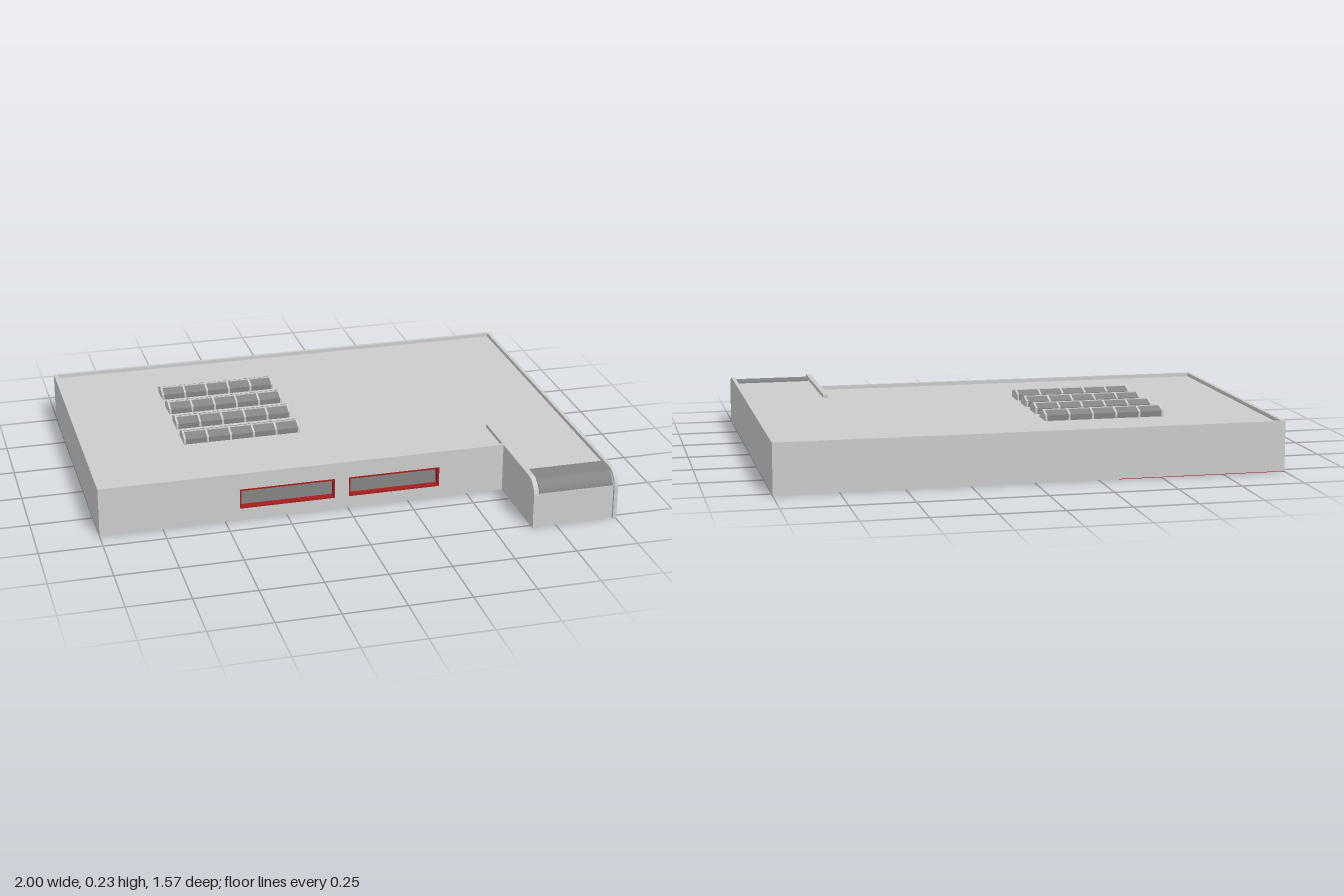
import * as THREE from 'three';

const grey = new THREE.MeshStandardMaterial({ color: 0xcccccc });
const glass = new THREE.MeshStandardMaterial({ color: 0x848484 });
const red = new THREE.MeshStandardMaterial({ color: 0xa81c1c });

const BACK = -0.785, FRONT = 0.415, TIP = 0.78; // main depth range and end of the wing
const ROOF = 0.185, TOP = 0.2, RIM = 0.015;

export function createModel() {
  const model = new THREE.Group();

  function add(name, geometry, material = grey, parent = model) {
    const mesh = new THREE.Mesh(geometry, material);
    mesh.name = name;
    parent.add(mesh);
    return mesh;
  }

  // Box given by its limits on each axis
  function block(name, x0, x1, y0, y1, z0, z1, material, parent) {
    const mesh = add(name, new THREE.BoxGeometry(x1 - x0, y1 - y0, z1 - z0), material, parent);
    mesh.position.set((x0 + x1) / 2, (y0 + y1) / 2, (z0 + z1) / 2);
    return mesh;
  }

  // Extrude a (z, y) profile along x, from x0 to x1
  function alongX(name, shape, x0, x1, material, parent) {
    const geometry = new THREE.ExtrudeGeometry(shape, { depth: x1 - x0, bevelEnabled: false, curveSegments: 10 });
    geometry.rotateY(-Math.PI / 2).scale(1, 1, 1); // shape x -> z, depth -> -x
    geometry.translate(x1, 0, 0);
    return add(name, geometry, material, parent);
  }

  function rectangle(Type, x0, x1, y0, y1) {
    return new Type([[x0, y0], [x1, y0], [x1, y1], [x0, y1]].map(([x, y]) => new THREE.Vector2(x, y)));
  }

  // Wing section with a rounded upper front corner
  function wingProfile(z0, z1, top, radius) {
    const shape = new THREE.Shape();
    shape.moveTo(z0, 0);
    shape.lineTo(z1, 0);
    shape.lineTo(z1, top - radius);
    shape.absarc(z1 - radius, top - radius, radius, 0, Math.PI / 2, false);
    shape.lineTo(z0, top);
    return shape;
  }

  // Main hall
  const wallDepth = 0.03;
  block('hall', -1, 1, 0, ROOF, BACK, FRONT - wallDepth);

  // Front wall with two recessed windows in red frames
  const windows = [[-0.44, -0.053], [0.005, 0.38]];
  const [sill, head, frame] = [0.05, 0.132, 0.006];
  const wall = rectangle(THREE.Shape, -1, 0.65, 0, ROOF);
  for (const [x0, x1] of windows) wall.holes.push(rectangle(THREE.Path, x0, x1, sill, head));
  const frontWall = add('frontWall', new THREE.ExtrudeGeometry(wall, { depth: wallDepth, bevelEnabled: false }));
  frontWall.position.z = FRONT - wallDepth;
  for (const [x0, x1] of windows) {
    const surround = rectangle(THREE.Shape, x0, x1, sill, head);
    surround.holes.push(rectangle(THREE.Path, x0 + frame, x1 - frame, sill + frame, head - frame));
    const frameMesh = add('windowFrame', new THREE.ExtrudeGeometry(surround, { depth: wallDepth + 0.002, bevelEnabled: false }), red);
    frameMesh.position.z = FRONT - wallDepth;
    block('windowPane', x0 + frame, x1 - frame, sill + frame, head - frame,
      FRONT - wallDepth, FRONT - wallDepth + 0.004, glass);
  }

  // Parapet round the roof
  block('backParapet', -1, 1, ROOF, TOP, BACK, BACK + RIM);
  block('leftParapet', 1 - RIM, 1, ROOF, TOP, BACK + RIM, 0.2);
  block('rightParapet', -1, -1 + RIM, ROOF, TOP, BACK + RIM, FRONT);
  block('frontParapet', -1 + RIM, 0.65, ROOF, TOP, FRONT - RIM, FRONT);

  // Projecting entrance wing: rounded shell between two side walls
  const wing = new THREE.Group();
  wing.name = 'entranceWing';
  model.add(wing);
  alongX('wingShell', wingProfile(FRONT - wallDepth, TIP - 0.012, ROOF, 0.05), 0.67, 1 - RIM, grey, wing);
  for (const [x0, x1] of [[0.65, 0.67], [1 - RIM, 1]]) {
    alongX('wingSideWall', wingProfile(FRONT - wallDepth, TIP, TOP, 0.065), x0, x1, grey, wing);
    block('wingFin', x0, x1, ROOF, TOP, 0.2, FRONT - wallDepth, grey, wing);
  }

  // Curved glazing over the front edge of the wing
  const outer = 0.056, inner = 0.046, cz = TIP - 0.062, cy = 0.135;
  const glazing = new THREE.Shape();
  glazing.moveTo(0.64, cy + inner);
  glazing.lineTo(cz, cy + inner);
  glazing.absarc(cz, cy, inner, Math.PI / 2, 0.18, true);
  glazing.absarc(cz, cy, outer, 0.18, Math.PI / 2, false);
  glazing.lineTo(0.64, cy + outer);
  alongX('wingGlazing', glazing, 0.675, 0.98, glass, wing);

  // Four ridged rooflights, each with six ribs
  function gable(grow) {
    const w = 0.045 + grow, points = [[-w, 0], [w, 0], [w, 0.025 + grow], [0, 0.04 + grow], [-w, 0.025 + grow]];
    return new THREE.Shape(points.map(([z, y]) => new THREE.Vector2(z, y)));
  }
  for (const z of [0.01, -0.148, -0.306, -0.464]) {
    const light = new THREE.Group();
    light.name = 'rooflight';
    light.position.set(0, ROOF - 0.003, z);
    model.add(light);
    alongX('rooflightGlass', gable(0), -0.585, -0.11, glass, light);
    for (let i = 0; i < 6; i++) {
      const x = -0.585 + i * 0.095;
      alongX('rooflightRib', gable(0.003), x - 0.004, x + 0.004, grey, light);
    }
    block('rooflightRidge', -0.585, -0.11, 0.037, 0.042, -0.003, 0.003, grey, light);
  }

  // Coloured panel set in the underside
  block('undersidePanel', -1, -0.33, -0.001, 0.001, BACK, -0.37, red);

  return model;
}
